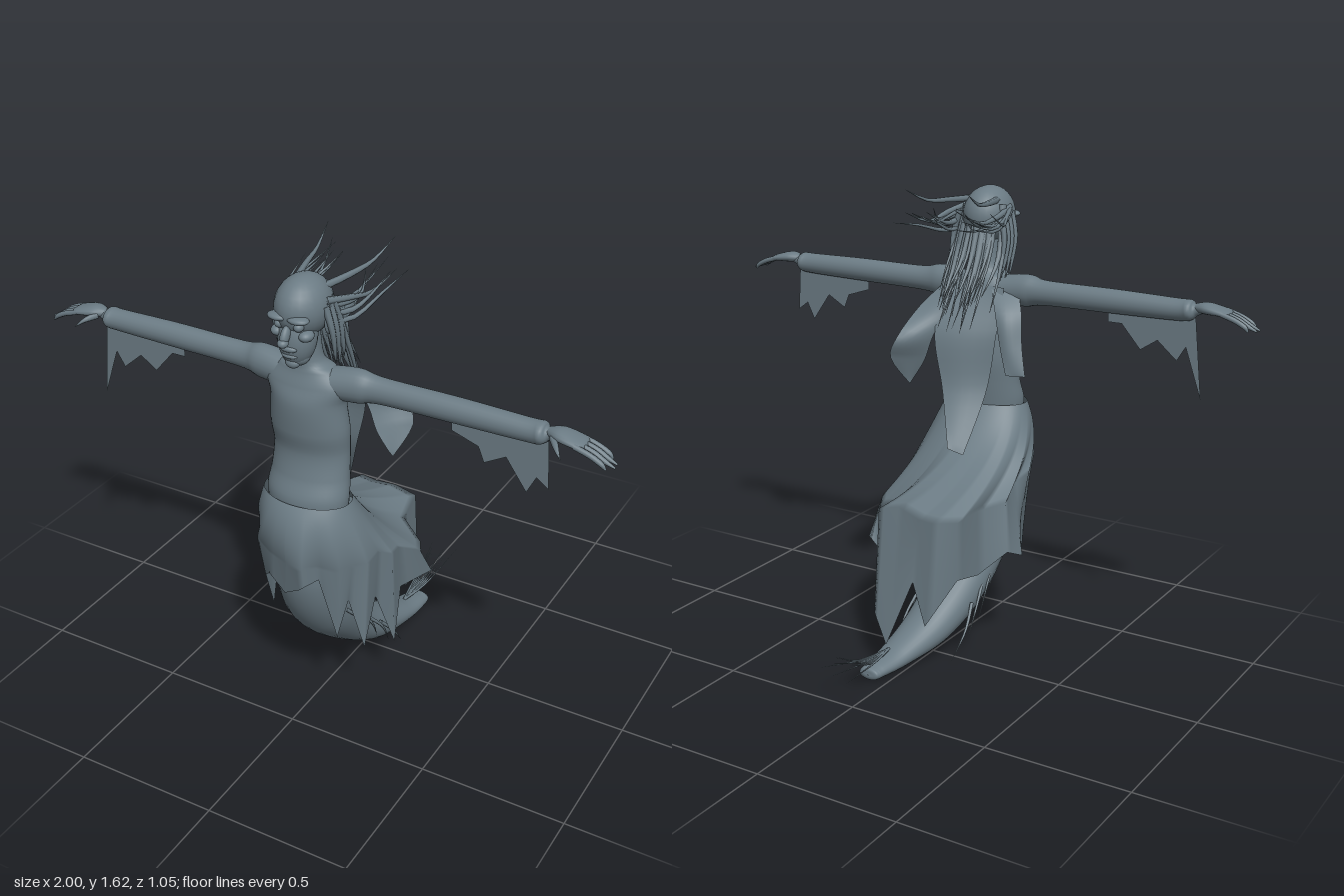
import * as THREE from 'three';
import { ParametricGeometry } from 'three/addons/geometries/ParametricGeometry.js';

const V = (p) => new THREE.Vector3(p[0], p[1], p[2]);
const X = new THREE.Vector3(1, 0, 0), Z = new THREE.Vector3(0, 0, 1);
const lerp = THREE.MathUtils.lerp;

// seeded random numbers
let seed = 7;
const rnd = (a = 0, b = 1) => {
  seed = (seed * 16807) % 2147483647;
  return a + (b - a) * (seed / 2147483647);
};

// smooth interpolation through rows of numbers
function sample(rows, t) {
  const n = rows.length - 1, f = t * n;
  const i = Math.max(0, Math.min(Math.floor(f), n - 1)), k = f - i;
  return rows[i].map((p1, c) => {
    const p2 = rows[i + 1][c];
    const p0 = i ? rows[i - 1][c] : p1, p3 = i + 2 <= n ? rows[i + 2][c] : p2;
    const m1 = (p2 - p0) / 2, m2 = (p3 - p1) / 2;
    return (2 * k ** 3 - 3 * k * k + 1) * p1 + (k ** 3 - 2 * k * k + k) * m1
      + (3 * k * k - 2 * k ** 3) * p2 + (k ** 3 - k * k) * m2;
  });
}

// straight interpolation around a closed loop of points
function around(loop, u) {
  const f = u * loop.length, i = Math.floor(f);
  return V(loop[i % loop.length]).lerp(V(loop[(i + 1) % loop.length]), f - i);
}

// tube with an elliptical section; rows are [x, y, z, width, thickness]
function sweep(rows, sides = 20, stacks = 40, ref = X) {
  const at = (t) => V(sample(rows, t));
  return new ParametricGeometry((u, v, out) => {
    const s = sample(rows, v);
    const T = at(Math.min(1, v + 0.01)).sub(at(Math.max(0, v - 0.01))).normalize();
    const N = ref.clone().addScaledVector(T, -ref.dot(T)).normalize();
    const B = T.clone().cross(N), a = u * Math.PI * 2;
    out.set(s[0], s[1], s[2]).addScaledVector(N, Math.cos(a) * Math.max(s[3], 0.0002))
      .addScaledVector(B, Math.sin(a) * Math.max(s[4], 0.0002));
  }, sides, stacks);
}

// thin tapering strand through a few points
const strand = (pts, r) =>
  sweep(pts.map((p, i) => {
    const w = r * (1 - 0.95 * (i / (pts.length - 1)) ** 1.5);
    return [...p, w, w];
  }), 6, 9);

// cloth strip between two edges
const ribbon = (a, b) => new ParametricGeometry((u, v, out) => {
  out.copy(V(sample(a, v))).lerp(V(sample(b, v)), u);
  out.z -= 0.015 * Math.sin(u * Math.PI) * Math.sin(v * Math.PI);
}, 6, 16);

export function createModel() {
  const model = new THREE.Group();
  const slate = new THREE.MeshStandardMaterial({ color: 0x6b7b84, side: THREE.DoubleSide });
  slate.name = 'slate grey';
  const add = (name, geo, parent = model) => {
    const m = new THREE.Mesh(geo, slate);
    m.name = name;
    parent.add(m);
    return m;
  };
  const group = (name) => {
    const g = new THREE.Group();
    g.name = name;
    model.add(g);
    return g;
  };
  const blob = (name, parent, p, r, tilt = 0) => {
    const m = add(name, new THREE.SphereGeometry(1, 24, 16), parent);
    m.position.set(...p);
    m.scale.set(...r);
    m.rotation.x = tilt;
  };

  // torso and neck: [y, z centre, half width, half depth]
  const rings = [[0.8, 0.365, 0.135, 0.09], [0.87, 0.362, 0.142, 0.095], [0.94, 0.345, 0.135, 0.086],
    [1.02, 0.334, 0.132, 0.083], [1.1, 0.343, 0.136, 0.088], [1.2, 0.35, 0.128, 0.087],
    [1.26, 0.345, 0.145, 0.075], [1.305, 0.345, 0.1, 0.06], [1.34, 0.352, 0.052, 0.05], [1.45, 0.36, 0.045, 0.045]];
  add('torso', new ParametricGeometry((u, v, out) => {
    const [y, z, rx, rz] = sample(rings, v), a = u * Math.PI * 2;
    out.set(Math.sin(a) * rx, y, z + Math.cos(a) * rz);
  }, 40, 45));

  // curved lower body ending in a narrow tip
  add('tail', sweep([[0, 0.75, 0.37, 0.11, 0.1], [0, 0.55, 0.36, 0.115, 0.11], [-0.01, 0.38, 0.28, 0.125, 0.11],
    [-0.01, 0.23, 0.15, 0.11, 0.09], [0.015, 0.115, 0, 0.09, 0.07], [0.045, 0.055, -0.17, 0.062, 0.04],
    [0.06, 0.038, -0.28, 0.045, 0.026], [0.06, 0.036, -0.315, 0.035, 0.02], [0.06, 0.036, -0.322, 0, 0]], 28, 64));

  // head and skull-like face
  const head = group('head');
  blob('cranium', head, [0, 1.515, 0.365], [0.085, 0.098, 0.108]);
  blob('face', head, [0, 1.435, 0.405], [0.062, 0.1, 0.062], -0.1);
  blob('jaw', head, [0, 1.37, 0.415], [0.046, 0.034, 0.035]);
  blob('chin', head, [0, 1.352, 0.437], [0.024, 0.018, 0.018]);
  blob('nose', head, [0, 1.455, 0.475], [0.014, 0.034, 0.018], -0.5);
  blob('noseTip', head, [0, 1.437, 0.488], [0.017, 0.014, 0.018]);
  blob('upperLip', head, [0, 1.408, 0.457], [0.03, 0.012, 0.016]);
  blob('lowerLip', head, [0, 1.382, 0.45], [0.028, 0.01, 0.016]);
  for (const s of [1, -1]) {
    blob('brow', head, [s * 0.034, 1.507, 0.455], [0.036, 0.013, 0.026]);
    blob('eye', head, [s * 0.033, 1.482, 0.45], [0.016, 0.015, 0.018]);
    blob('cheekbone', head, [s * 0.048, 1.45, 0.433], [0.023, 0.018, 0.028]);
    blob('ear', head, [s * 0.083, 1.47, 0.36], [0.012, 0.035, 0.02]);
  }

  // skirt: waist, flared fold line and a torn hem of alternating tips and notches
  const fold = [[0, 0.66, 0.51], [0.05, 0.66, 0.525], [0.09, 0.65, 0.47], [0.15, 0.64, 0.45], [0.18, 0.64, 0.4],
    [0.215, 0.64, 0.36], [0.215, 0.65, 0.29], [0.24, 0.62, 0.24], [0.225, 0.6, 0.17], [0.25, 0.53, 0.06],
    [0.22, 0.52, 0], [0.13, 0.56, -0.05], [0.11, 0.58, -0.17], [0.03, 0.6, -0.17], [-0.06, 0.58, -0.19],
    [-0.12, 0.58, -0.2], [-0.175, 0.57, -0.13], [-0.175, 0.57, 0], [-0.24, 0.59, 0.08], [-0.21, 0.62, 0.18],
    [-0.225, 0.64, 0.27], [-0.18, 0.65, 0.35], [-0.16, 0.66, 0.43], [-0.08, 0.66, 0.48]];
  const hem = [[-0.02, 0.53, 0.49], [0.05, 0.58, 0.515], [0.09, 0.6, 0.46], [0.14, 0.37, 0.43], [0.16, 0.5, 0.39],
    [0.2, 0.3, 0.355], [0.2, 0.46, 0.28], [0.23, 0.23, 0.2], [0.22, 0.42, 0.14], [0.255, 0.4, -0.02],
    [0.2, 0.35, -0.02], [0.12, 0.32, -0.08], [0.1, 0.22, -0.22], [0.04, 0.12, -0.24], [-0.05, 0.36, -0.21],
    [-0.11, 0.22, -0.23], [-0.17, 0.36, -0.12], [-0.18, 0.34, 0], [-0.26, 0.42, 0.06], [-0.27, 0.38, 0.15],
    [-0.2, 0.44, 0.25], [-0.17, 0.33, 0.33], [-0.14, 0.52, 0.42], [-0.09, 0.57, 0.47]];
  add('skirt', new ParametricGeometry((u, v, out) => {
    const a = u * Math.PI * 2, s = Math.sin(a), c = Math.cos(a);
    const waist = new THREE.Vector3(0.153 * s, 0.86, 0.365 + 0.1 * c);
    const ctrl = new THREE.Vector3(0.21 * s, 0.72 + 0.06 * c, 0.33 + 0.2 * c);
    const knee = around(fold, u);
    if (v < 0.4) {
      out.copy(around(hem, u)).lerp(knee, v / 0.4);
    } else {
      const t = (v - 0.4) / 0.6, q = 1 - t;
      out.set(0, 0, 0).addScaledVector(knee, q * q).addScaledVector(ctrl, 2 * q * t).addScaledVector(waist, t * t);
    }
  }, 96, 30));

  // torn shawl hanging behind the back
  const shawl = group('shawl');
  add('leftShawlStrip', ribbon([[0.14, 1.27, 0.3], [0.18, 1.2, 0.2], [0.2, 1.11, 0.085], [0.23, 1.03, 0.09], [0.19, 0.93, 0.15]],
    [[0.03, 1.29, 0.28], [0.08, 1.18, 0.2], [0.11, 1.1, 0.17], [0.14, 1.02, 0.17], [0.18, 0.95, 0.16]]), shawl);
  add('rightShawlStrip', ribbon([[-0.06, 1.28, 0.28], [-0.11, 1.2, 0.22], [-0.14, 1.1, 0.2], [-0.17, 1, 0.19]],
    [[-0.15, 1.27, 0.31], [-0.19, 1.2, 0.26], [-0.21, 1.1, 0.23], [-0.235, 1, 0.21]]), shawl);
  add('longShawlStrip', ribbon([[0.1, 1.29, 0.28], [0.1, 1.13, 0.17], [0.05, 0.93, 0.14], [-0.02, 0.75, 0.06]],
    [[-0.11, 1.28, 0.28], [-0.11, 1.13, 0.23], [-0.09, 0.93, 0.2], [-0.07, 0.73, 0.08]]), shawl);

  // arms, hands and sleeve rags
  const rags = {
    1: [[0.48, 1.25], [0.48, 1.2], [0.57, 1.17], [0.59, 1.12], [0.66, 1.16], [0.73, 1.06], [0.76, 1.12], [0.8, 1.09], [0.79, 1.25]],
    [-1]: [[-0.48, 1.25], [-0.48, 1.2], [-0.53, 1.2], [-0.6, 1.12], [-0.66, 1.16], [-0.73, 1.1], [-0.76, 1.15], [-0.82, 0.98], [-0.79, 1.25]],
  };
  for (const s of [1, -1]) {
    const arm = group(s > 0 ? 'leftArm' : 'rightArm');
    add('sleeve', sweep([[0.06, 1.26, 0.34, 0.055, 0.05], [0.17, 1.27, 0.335, 0.048, 0.056], [0.25, 1.27, 0.33, 0.038, 0.043],
      [0.5, 1.272, 0.328, 0.038, 0.041], [0.72, 1.272, 0.328, 0.036, 0.037], [0.77, 1.275, 0.328, 0.04, 0.034],
      [0.79, 1.278, 0.328, 0.022, 0.02], [0.82, 1.288, 0.328, 0.02, 0.015]].map(([x, ...r]) => [s * x, ...r]), 20, 48, Z), arm);
    add('palm', sweep([[0.79, 1.285, 0.328, 0.018, 0.014], [0.825, 1.287, 0.33, 0.036, 0.019], [0.87, 1.282, 0.332, 0.042, 0.015],
      [0.9, 1.276, 0.333, 0.036, 0.01], [0.91, 1.274, 0.333, 0, 0]].map(([x, ...r]) => [s * x, ...r]), 16, 20, Z), arm);
    for (let i = 0; i < 4; i++) {
      const z = 0.301 + i * 0.022, tip = [0.975, 0.998, 1, 0.98][i];
      add('finger', sweep([[0.88, 1.28, z, 0.009, 0.009], [0.93, 1.265, z, 0.009, 0.009],
        [0.965, 1.247, z, 0.008, 0.008], [tip, 1.232, z, 0.003, 0.003]].map(([x, ...r]) => [s * x, ...r]), 8, 12, Z), arm);
    }
    add('thumb', strand([[s * 0.81, 1.28, 0.35], [s * 0.835, 1.27, 0.385], [s * 0.86, 1.25, 0.41]], 0.012), arm);
    const rag = add('sleeveRag', new THREE.ShapeGeometry(new THREE.Shape(rags[s].map((p) => new THREE.Vector2(...p)))), arm);
    rag.position.z = 0.328;
  }

  // hair: locks blown back and locks hanging down
  const hair = group('hair');
  for (const s of [1, -1]) {
    for (let i = 0; i < 8; i++) {
      const y = rnd(1.48, 1.55), w = rnd(0.06, 0.15), end = rnd(-0.05, 0.13), rise = rnd(-0.04, 0.03);
      add('blownLock', strand([[s * 0.078, y, 0.37], [s * (0.06 + w * 0.4), y - 0.02, 0.27],
        [s * w, 1.505 + rise * 0.4, lerp(0.27, end, 0.5)], [s * (w + rnd(-0.04, 0.035)), 1.545 + rise, end]], rnd(0.007, 0.012)), hair);
    }
    for (let i = 0; i < 15; i++) {
      const x = s * rnd(0.005, 0.085), z = 0.28 + Math.abs(x) * 0.7, drop = rnd(1.13, 1.28);
      add('hangingLock', strand([[x, rnd(1.5, 1.56), z], [x * 1.2, 1.44, z - 0.03],
        [x * 1.3, lerp(1.44, drop, 0.5), z - 0.08], [x * 1.25, drop, z - rnd(0.12, 0.19)]], rnd(0.009, 0.016)), hair);
    }
    for (let i = 0; i < 4; i++) {
      const z = 0.375 - i * 0.025;
      add('sideLock', strand([[s * 0.08, 1.53, z], [s * 0.1, 1.45, z - 0.005],
        [s * 0.1, 1.37, z - 0.02], [s * 0.09, rnd(1.28, 1.33), z - 0.04]], 0.013), hair);
    }
    add('topLock', strand([[s * 0.05, 1.57, 0.33], [s * 0.08, 1.575, 0.22], [s * 0.1, 1.585, 0.12], [s * 0.12, 1.63, 0.02]], 0.012), hair);
  }

  // loose threads behind the tail and along its sides
  const threads = group('threads');
  for (let i = 0; i < 9; i++) {
    const x = 0.005 + i * 0.013;
    add('tailThread', strand([[0.055, 0.085, -0.2], [lerp(0.055, x, 0.5), 0.09, -0.33],
      [x, 0.09 + rnd(0, 0.07), -0.525 + (i % 4) * 0.025]], 0.005), threads);
  }
  for (const s of [1, -1]) {
    for (let i = 0; i < 4; i++) {
      const z = 0.32 - i * 0.08, y = 0.4 - i * 0.07;
      add('sideThread', strand([[s * 0.11, y, z], [s * 0.125, y - 0.08, z - 0.07],
        [s * rnd(0.09, 0.13), Math.max(0.02, y - rnd(0.15, 0.22)), z - 0.14]], 0.007), threads);
    }
  }
  return model;
}
